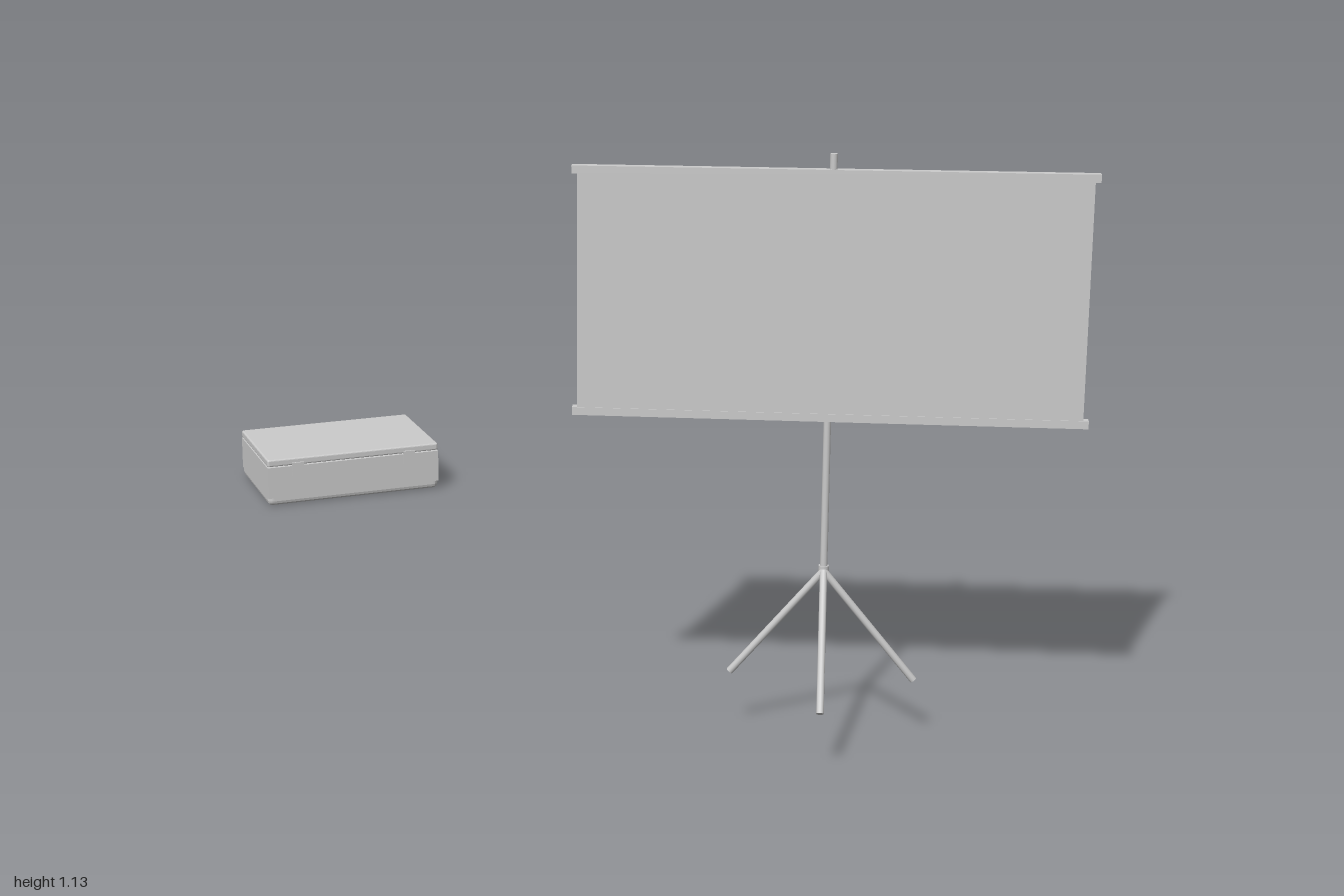
import * as THREE from 'three';

const material = new THREE.MeshStandardMaterial({ color: 0xcccccc, roughness: 0.7 });

function add(parent, name, geometry, x = 0, y = 0, z = 0) {
  const mesh = new THREE.Mesh(geometry, material);
  mesh.name = name;
  mesh.position.set(x, y, z);
  parent.add(mesh);
  return mesh;
}

// Round bar between two points
function bar(parent, name, a, b, radius, sides = 12) {
  const from = new THREE.Vector3(...a), to = new THREE.Vector3(...b);
  const dir = to.clone().sub(from);
  const mesh = add(parent, name, new THREE.CylinderGeometry(radius, radius, dir.length(), sides));
  mesh.position.copy(from).add(to).multiplyScalar(0.5);
  mesh.quaternion.setFromUnitVectors(new THREE.Vector3(0, 1, 0), dir.normalize());
  return mesh;
}

// Horizontal slab of a rectangular plan with bevelled top and bottom edges
function slab(width, depth, y0, y1, bevel, corner) {
  const w = width / 2 - bevel, d = depth / 2 - bevel, c = corner;
  const s = new THREE.Shape();
  s.moveTo(-w + c, -d);
  s.lineTo(w - c, -d); s.quadraticCurveTo(w, -d, w, -d + c);
  s.lineTo(w, d - c); s.quadraticCurveTo(w, d, w - c, d);
  s.lineTo(-w + c, d); s.quadraticCurveTo(-w, d, -w, d - c);
  s.lineTo(-w, -d + c); s.quadraticCurveTo(-w, -d, -w + c, -d);
  const g = new THREE.ExtrudeGeometry(s, {
    depth: y1 - y0 - 2 * bevel, bevelEnabled: true,
    bevelSize: bevel, bevelThickness: bevel, bevelSegments: 3, curveSegments: 4,
  });
  g.rotateX(-Math.PI / 2);
  g.translate(0, y0 + bevel, 0);
  return g;
}

function createCase() {
  const group = new THREE.Group();
  group.name = 'carryCase';
  const W = 0.445, D = 0.296;

  add(group, 'caseBody', slab(W, D, 0, 0.101, 0.012, 0.003));
  // Straight upper wall closes the body up to the seam
  add(group, 'caseRim', new THREE.BoxGeometry(W, 0.08, D), 0, 0.06, 0);
  add(group, 'caseLid', slab(W, D, 0.102, 0.12, 0.004, 0.002));

  // Front latches
  for (const x of [-0.145, 0.145]) {
    add(group, 'latch', new THREE.BoxGeometry(0.03, 0.034, 0.008), x, 0.092, D / 2 + 0.001);
  }
  group.position.set(-0.735, 0, -0.738);
  group.rotation.y = Math.atan(0.5);
  return group;
}

function createScreen() {
  const group = new THREE.Group();
  group.name = 'tripodScreen';
  const X = 0.521, Z = 0.779;

  add(group, 'screenPanel', new THREE.BoxGeometry(0.934, 0.466, 0.015), X, 0.866, Z);

  // Roller rails with protruding ends along the top and bottom
  for (const [name, y] of [['topRail', 1.094], ['bottomRail', 0.636]]) {
    add(group, name, new THREE.BoxGeometry(0.954, 0.015, 0.018), X, y, Z);
  }

  bar(group, 'pole', [X, 0.32, Z], [X, 1.13, Z], 0.007);
  bar(group, 'hub', [X, 0.322, Z], [X, 0.345, Z], 0.01);

  // Tripod legs: one forward, two spread sideways
  const feet = [[X, 0.12, 0.96], [0.346, 0.12, 0.766], [0.696, 0.12, 0.777]];
  for (const foot of feet) {
    bar(group, 'leg', [X, 0.336, Z + 0.005], foot, 0.007);
  }
  return group;
}

export function createModel() {
  const model = new THREE.Group();
  model.name = 'caseAndScreen';
  model.add(createCase(), createScreen());
  return model;
}
